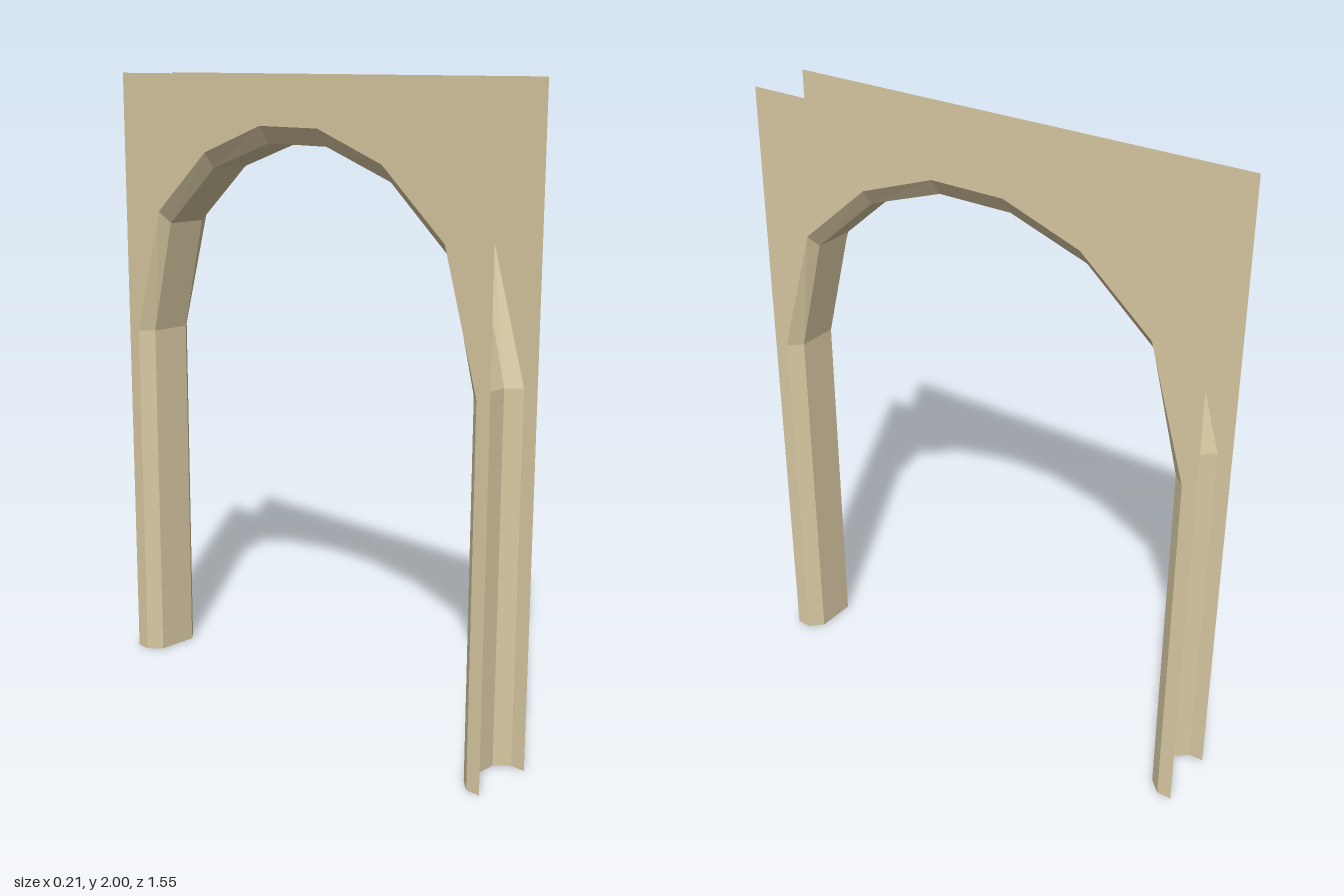
import * as THREE from 'three';

// Half outlines as [z, y], from the foot up to the crown
const OUTER = [[0.73, 0], [0.73, 1.15], [0.608, 1.56], [0.375, 1.76], [0.122, 1.85]];
const INNER = [[0.69, 0], [0.69, 1.15], [0.594, 1.52], [0.375, 1.71], [0.122, 1.797]];
const FACE_X = 0.105, SOFFIT_X = 0.067, HALF_WIDTH = 0.777, HEIGHT = 2;

const mirrored = (half) => [...half, ...half.slice().reverse().map(([z, y]) => [-z, y])];

// Flat-sided strip between two arch outlines; a lies on the -x side of b
function archStrip(a, xa, b, xb) {
  const pos = [];
  for (let i = 0; i < a.length - 1; i++) {
    const [a0, a1] = [a[i], a[i + 1]].map(([z, y]) => [xa, y, z]);
    const [b0, b1] = [b[i], b[i + 1]].map(([z, y]) => [xb, y, z]);
    pos.push(...a0, ...a1, ...b1, ...a0, ...b1, ...b0);
  }
  const g = new THREE.BufferGeometry();
  g.setAttribute('position', new THREE.Float32BufferAttribute(pos, 3));
  g.computeVertexNormals();
  return g;
}

export function createModel() {
  const group = new THREE.Group();
  const material = new THREE.MeshStandardMaterial({
    color: 0xd8c9a2, flatShading: true, side: THREE.DoubleSide,
  });
  const add = (name, geometry) => {
    const mesh = new THREE.Mesh(geometry, material);
    mesh.name = name;
    group.add(mesh);
    return mesh;
  };

  const outer = mirrored(OUTER), inner = mirrored(INNER);

  // Wall panel with the arched doorway cut up from its bottom edge
  const panel = new THREE.Shape([
    [HALF_WIDTH, 0], [HALF_WIDTH, HEIGHT], [-HALF_WIDTH, HEIGHT], [-HALF_WIDTH, 0],
    ...outer.slice().reverse(),
  ].map(([z, y]) => new THREE.Vector2(z, y)));
  for (const [name, s] of [['left', 1], ['right', -1]]) {
    const mesh = add(name + 'Panel', new THREE.ShapeGeometry(panel).rotateY(s * Math.PI / 2));
    mesh.position.x = s * FACE_X;
  }

  // Chamfers leading from each panel into the opening
  add('leftChamfer', archStrip(inner, SOFFIT_X, outer, FACE_X));
  add('rightChamfer', archStrip(outer, -FACE_X, inner, -SOFFIT_X));

  // Inner lining of the jambs and arch
  add('archLining', archStrip(inner, -SOFFIT_X, inner, SOFFIT_X));

  return group;
}
